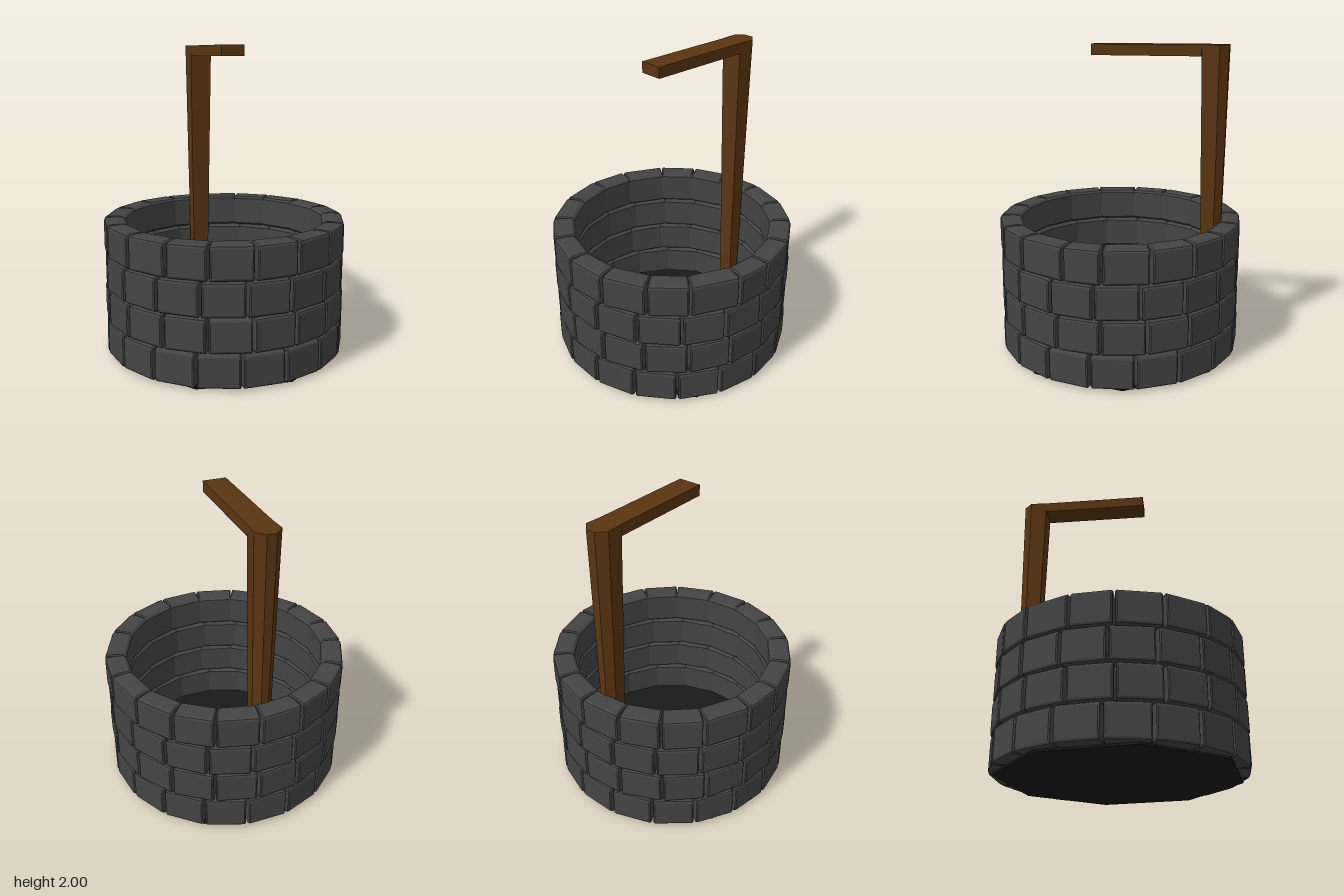
import * as THREE from 'three';

const stone = new THREE.MeshStandardMaterial({ color: 0x444444, flatShading: true });
const wood = new THREE.MeshStandardMaterial({ color: 0x5a3512, flatShading: true });
const dark = new THREE.MeshStandardMaterial({ color: 0x1a1a1a, flatShading: true });

// Closed solid through loops of points; loops run anticlockwise seen from the first cap
function loft(loops) {
  const n = loops[0].length, index = [];
  for (let k = 0; k < loops.length - 1; k++) {
    for (let i = 0; i < n; i++) {
      const j = (i + 1) % n, a = k * n, b = a + n;
      index.push(a + i, b + i, b + j, a + i, b + j, a + j);
    }
  }
  const last = (loops.length - 1) * n;
  for (let i = 1; i < n - 1; i++) {
    index.push(0, i, i + 1, last, last + i + 1, last + i);
  }
  const g = new THREE.BufferGeometry();
  g.setAttribute('position', new THREE.Float32BufferAttribute(loops.flat(2), 3));
  g.setIndex(index);
  const flat = g.toNonIndexed();
  flat.computeVertexNormals();
  return flat;
}

function add(parent, name, geometry, material) {
  const mesh = new THREE.Mesh(geometry, material);
  mesh.name = name;
  parent.add(mesh);
  return mesh;
}

// Wedge-shaped stone with worn edges: [radius, side inset, top and bottom inset]
const WEAR = [
  [0.8, 0.02, 0.02], [0.795, 0.011, 0.009], [0.782, 0.006, 0.002],
  [0.72, 0.002, 0], [0.675, 0, 0.003], [0.658, 0, 0.016],
];
function brick(halfAngle, height) {
  return loft(WEAR.map(([r, ix, iy]) => {
    const w = r * Math.sin(halfAngle) - ix, h = height / 2 - iy;
    const z = r * Math.cos(halfAngle), c = 0.008;
    return [
      [-w + c, -h, z], [w - c, -h, z], [w, -h + c, z], [w, h - c, z],
      [w - c, h, z], [-w + c, h, z], [-w, h - c, z], [-w, -h + c, z],
    ];
  }));
}

export function createModel() {
  const model = new THREE.Group();
  model.name = 'well';

  // Four courses of eighteen stones, given by their joint angles in degrees
  const even = (start) => Array.from({ length: 18 }, (_, i) => start + i * 20);
  const courses = [
    even(-10.5), even(-5.5), even(-8.5),
    [-165, -146, -127, -105, -86, -65, -44, -25, -5, 15, 36, 55, 78, 95, 116, 136, 155, 175],
  ];
  const height = 0.219;
  courses.forEach((joints, row) => {
    const course = new THREE.Group();
    course.name = 'stoneCourse' + (row + 1);
    course.position.y = 0.012 + height * (row + 0.5);
    joints.forEach((start, i) => {
      const end = i < 17 ? joints[i + 1] : joints[0] + 360;
      const half = THREE.MathUtils.degToRad((end - start) / 2);
      const mesh = add(course, 'stone', brick(half, height), stone);
      mesh.rotation.y = THREE.MathUtils.degToRad((start + end) / 2);
    });
    model.add(course);
  });

  // Dark eight-sided floor
  const floor = add(model, 'floor', new THREE.CylinderGeometry(0.77, 0.77, 0.03, 8), dark);
  floor.position.y = 0.015;
  floor.rotation.y = THREE.MathUtils.degToRad(14);

  // Six-sided post, narrowing downwards
  const section = [
    [0.075, 0.082], [0.082, -0.028], [0.03, -0.083],
    [-0.03, -0.083], [-0.082, -0.028], [-0.075, 0.082],
  ];
  const level = (y, s) => section.map(([x, z]) => [x * s, y, z * s - 0.607]);
  add(model, 'post', loft([level(2, 1), level(0.02, 0.62)]), wood);

  // Beam reaching out over the middle
  const beam = add(model, 'beam', new THREE.BoxGeometry(0.15, 0.07, 0.695), wood);
  beam.position.set(0, 1.965, -0.1775);

  return model;
}
